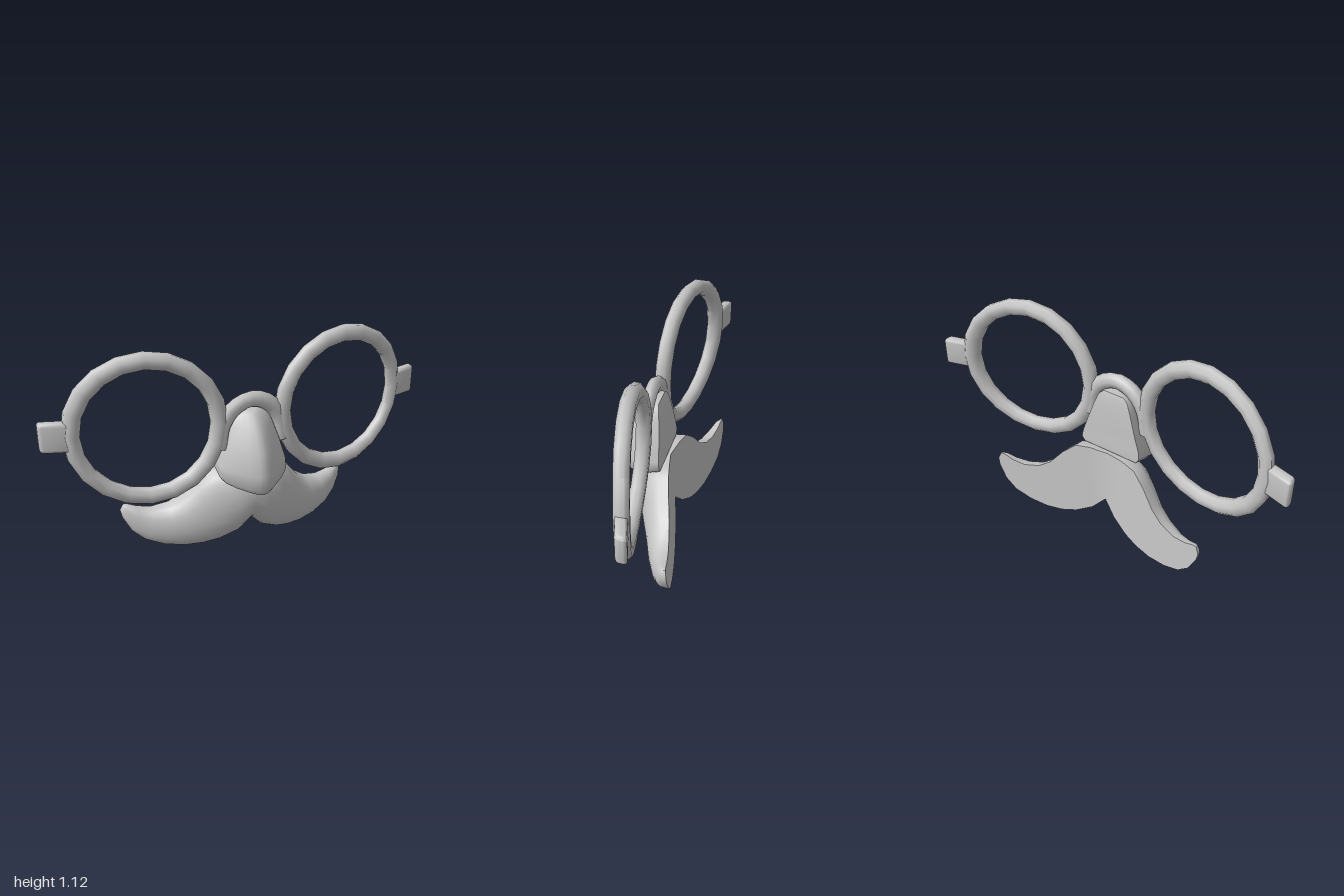
import * as THREE from 'three';
import { toCreasedNormals } from 'three/addons/utils/BufferGeometryUtils.js';
import { RoundedBoxGeometry } from 'three/addons/geometries/RoundedBoxGeometry.js';

const grey = new THREE.MeshStandardMaterial({ color: 0xc4c4c4 });
grey.name = 'plain grey';

function part(name, geometry, crease = 1.0) {
  const mesh = new THREE.Mesh(toCreasedNormals(geometry, crease), grey);
  mesh.name = name;
  return mesh;
}

// Wraps flat spectacle parts backwards round the face
function wrap(geometry) {
  const p = geometry.attributes.position;
  for (let i = 0; i < p.count; i++) {
    const x = p.getX(i);
    p.setZ(i, p.getZ(i) + 0.03 - 0.158 * x * x);
  }
  return geometry;
}

// Skins closed loops of points and caps both ends
function loft(loops) {
  const n = loops[0].length, last = loops.length - 1, index = [];
  const points = loops.flat();
  for (let i = 0; i < last; i++) {
    for (let j = 0; j < n; j++) {
      const k = (j + 1) % n;
      const a = i * n + j, b = i * n + k, c = b + n, d = a + n;
      index.push(a, b, c, a, c, d);
    }
  }
  for (const row of [0, last]) {
    const centre = new THREE.Vector3();
    loops[row].forEach((v) => centre.addScaledVector(v, 1 / n));
    const m = points.push(centre) - 1;
    for (let j = 0; j < n; j++) {
      const a = row * n + j, b = row * n + (j + 1) % n;
      if (row === 0) index.push(m, b, a);
      else index.push(m, a, b);
    }
  }
  const geometry = new THREE.BufferGeometry().setFromPoints(points);
  geometry.setIndex(index);
  return geometry;
}

// Ring with a flat-sided octagonal section
function rimGeometry() {
  const profile = [];
  for (let i = 0; i <= 8; i++) {
    const a = (i % 8 + 0.5) * Math.PI / 4;
    profile.push(new THREE.Vector2(0.347 + 0.043 * Math.cos(a), 0.039 * Math.sin(a)));
  }
  return new THREE.LatheGeometry(profile, 20).rotateX(Math.PI / 2);
}

function noseGeometry() {
  // front height, half width, front z, back z, slope towards the back
  const levels = [
    [0.376, 0.160, 0.188, -0.05, 0.30],
    [0.402, 0.178, 0.207, -0.05, 0.27],
    [0.480, 0.172, 0.213, -0.045, 0.12],
    [0.600, 0.142, 0.178, -0.04, 0],
    [0.700, 0.108, 0.122, -0.03, 0],
    [0.755, 0.085, 0.074, -0.022, 0],
    [0.775, 0.060, 0.045, -0.015, 0],
  ];
  // half section: share of width, share of depth
  const half = [[0, 0], [0.16, 0.025], [0.4, 0.14], [0.7, 0.31], [0.94, 0.5], [1, 0.6], [0.98, 1]];
  const section = [...half, ...half.slice(1).reverse().map(([x, d]) => [-x, d])];
  return loft(levels.map(([y, w, front, back, slope]) => section.map(([x, d]) => {
    const depth = d * (front - back);
    return new THREE.Vector3(x * w, y + depth * slope, front - depth);
  })));
}

function moustacheGeometry() {
  // top x, top y, bottom x, bottom y, bulge
  const half = [
    [0, 0.44, 0, 0.16, 0.165],
    [0.10, 0.447, 0.07, 0.085, 0.178],
    [0.18, 0.437, 0.16, 0.032, 0.165],
    [0.25, 0.375, 0.24, 0.008, 0.148],
    [0.32, 0.290, 0.33, 0.001, 0.13],
    [0.385, 0.245, 0.43, 0.016, 0.115],
    [0.47, 0.225, 0.52, 0.050, 0.09],
    [0.54, 0.235, 0.58, 0.105, 0.065],
    [0.59, 0.255, 0.618, 0.180, 0.04],
    [0.61, 0.256, 0.626, 0.220, 0.02],
  ];
  const mirrored = half.slice(1).reverse().map(([a, b, c, d, e]) => [-a, b, -c, d, e]);
  const front = 12, behind = 4;
  return loft([...mirrored, ...half].map(([tx, ty, bx, by, bulge]) => {
    const loop = [];
    for (let j = 0; j < front + behind; j++) {
      const angle = Math.PI * j / front;
      const t = j <= front ? (1 - Math.cos(angle)) / 2 : 1 - (j - front) / behind;
      // fuller towards the lower edge
      const out = j > 0 && j < front
        ? bulge * (0.9 + 0.2 * t) * Math.pow(Math.sin(angle), 0.7 - 0.25 * t) : 0;
      const x = tx + (bx - tx) * t, y = ty + (by - ty) * t;
      const back = -0.063 - 0.1 * (0.44 - y) - 0.2 * Math.abs(x);
      loop.push(new THREE.Vector3(x, y, back + out));
    }
    return loop;
  }));
}

export function createModel() {
  const model = new THREE.Group();
  model.name = 'disguise glasses';

  // Round rims and hinge tabs
  for (const [side, label] of [[1, 'left'], [-1, 'right']]) {
    const rim = rimGeometry().translate(side * 0.513, 0.73, 0);
    model.add(part(label + 'Rim', wrap(rim)));

    const tab = new RoundedBoxGeometry(0.15, 0.15, 0.055, 2, 0.018);
    tab.translate(side * 0.925, 0.73, 0);
    model.add(part(label + 'HingeTab', wrap(tab)));
  }

  // Arched bridge, its legs running down the inner sides of the rims
  const arch = new THREE.CatmullRomCurve3([
    [-0.17, 0.59], [-0.148, 0.71], [-0.09, 0.79], [0, 0.823],
    [0.09, 0.79], [0.148, 0.71], [0.17, 0.59],
  ].map(([x, y]) => new THREE.Vector3(x, y, 0)));
  const bridge = new THREE.TubeGeometry(arch, 16, 0.042, 8);
  bridge.scale(1, 1, 0.8);
  model.add(part('bridge', wrap(bridge)));

  // Nose and moustache
  model.add(part('nose', noseGeometry(), 0.95));
  model.add(part('moustache', moustacheGeometry(), 1.0));
  return model;
}
